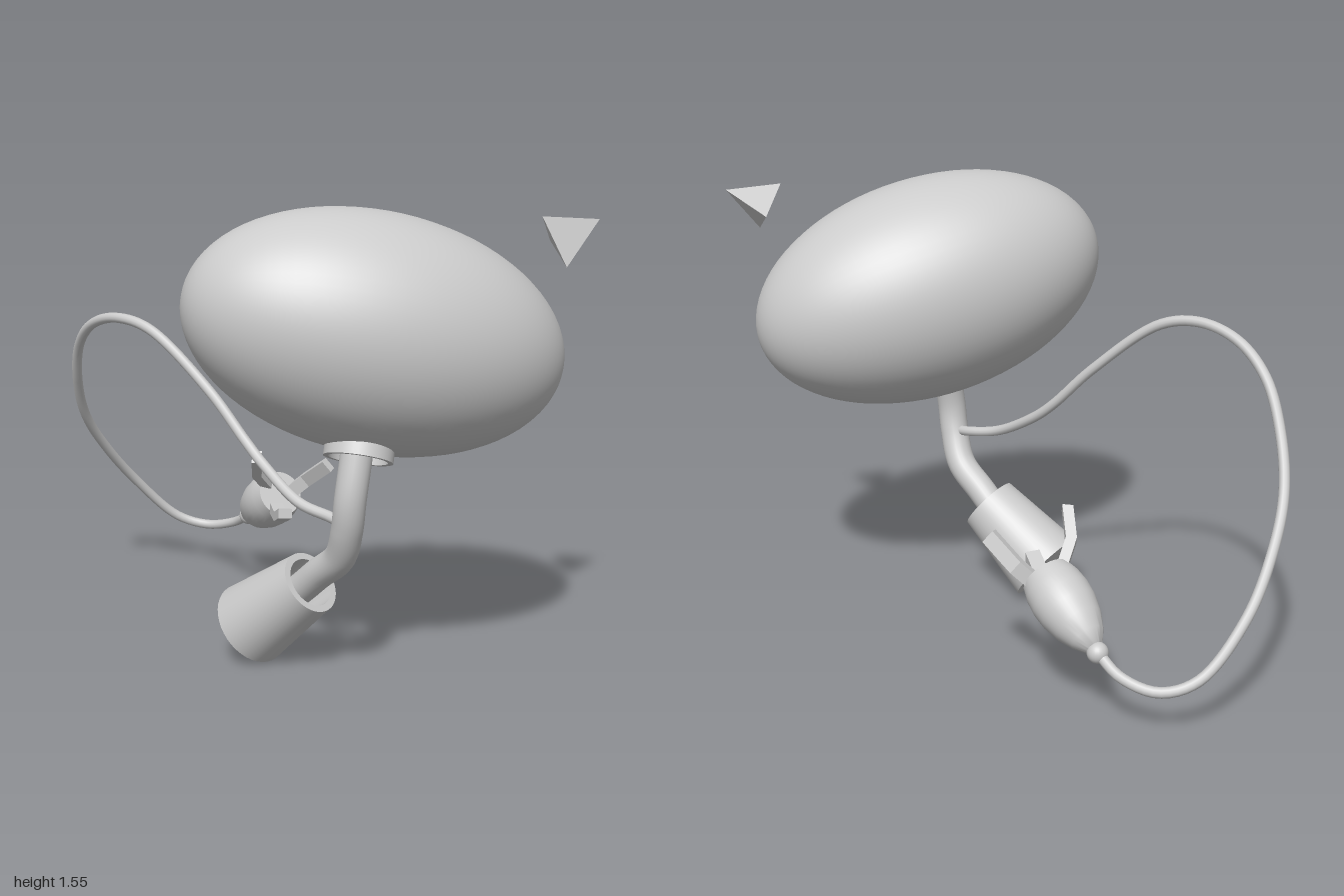
import * as THREE from 'three';
import { toCreasedNormals } from 'three/addons/utils/BufferGeometryUtils.js';
import { ConvexGeometry } from 'three/addons/geometries/ConvexGeometry.js';

const V = (x, y, z) => new THREE.Vector3(x, y, z);
const UP = V(0, 1, 0);

export function createModel() {
  const model = new THREE.Group();
  const material = new THREE.MeshStandardMaterial({ color: 0xcccccc });

  function add(name, geometry, parent = model) {
    const mesh = new THREE.Mesh(geometry, material);
    mesh.name = name;
    parent.add(mesh);
    return mesh;
  }

  // Stands an object at a point with its y axis along a direction
  function aim(object, from, direction) {
    object.position.copy(from);
    object.quaternion.setFromUnitVectors(UP, direction.clone().normalize());
    return object;
  }

  function lathe(profile, crease = 0.6) {
    const points = profile.map(([r, y]) => new THREE.Vector2(r, y));
    return toCreasedNormals(new THREE.LatheGeometry(points, 40), crease);
  }

  function tube(points, radius, segments, sides) {
    const curve = new THREE.CatmullRomCurve3(points.map((p) => V(...p)));
    return new THREE.TubeGeometry(curve, segments, radius, sides);
  }

  // Long smooth body, tilted along its own axis
  const body = add('body', new THREE.SphereGeometry(1, 64, 40));
  body.scale.set(0.387, 0.639, 0.387);
  aim(body, V(0.35, 1.145, 0.235), V(0.796, -0.233, -0.557));

  // Hollow collar under the body
  const collar = add('collar', lathe([
    [0.112, 0], [0.112, 0.16], [0.095, 0.16], [0.095, 0], [0.112, 0],
  ]));
  aim(collar, V(0.35, 0.768, 0.4), V(0, 0.918, -0.396));

  // Bent neck running down into the cup
  add('neck', tube([
    [0.35, 0.92, 0.37], [0.348, 0.78, 0.412], [0.337, 0.64, 0.435], [0.322, 0.54, 0.42],
    [0.283, 0.433, 0.377], [0.19, 0.35, 0.325], [0.11, 0.275, 0.287], [0.03, 0.21, 0.262],
  ], 0.052, 40, 24));

  // Cup foot with a closed wide base
  const cup = add('cup', lathe([
    [0, 0], [0.145, 0], [0.108, 0.322], [0.085, 0.322], [0.085, 0.08], [0, 0.08],
  ]));
  aim(cup, V(-0.088, 0.112, 0.23), V(0.243, 0.198, 0.074));

  // Thin arm looping back to the hand
  add('arm', tube([
    [0.325, 0.55, 0.42], [0.25, 0.562, 0.375], [0.128, 0.588, 0.338], [-0.03, 0.68, 0.255],
    [-0.11, 0.747, 0.22], [-0.257, 0.898, 0.18], [-0.497, 1.088, 0.135], [-0.64, 1.117, 0.095],
    [-0.78, 1.08, 0.025], [-0.885, 0.985, -0.06], [-0.95, 0.83, -0.155], [-0.98, 0.668, -0.265],
    [-0.963, 0.508, -0.4], [-0.909, 0.348, -0.54], [-0.79, 0.185, -0.66], [-0.674, 0.148, -0.7],
    [-0.55, 0.175, -0.685], [-0.465, 0.225, -0.634],
  ], 0.018, 120, 12));

  // Hand: wrist ball, rounded palm and three bent fingers
  const hand = new THREE.Group();
  hand.name = 'hand';
  model.add(hand);
  const wristPoint = V(-0.465, 0.225, -0.634);
  add('wrist', new THREE.SphereGeometry(0.035, 24, 16), hand).position.copy(wristPoint);

  const palm = add('palm', lathe([
    [0, 0.015], [0.03, 0.02], [0.058, 0.06], [0.083, 0.115], [0.098, 0.175],
    [0.102, 0.225], [0.097, 0.275], [0.085, 0.318], [0, 0.318],
  ], 0.9), hand);
  aim(palm, wristPoint, V(0.215, 0.16, 0.184));

  // Finger: a bent strip extruded across the plane of its three joints
  function finger(base, bend, tip) {
    const xAxis = tip.clone().sub(base).normalize();
    const zAxis = xAxis.clone().cross(bend.clone().sub(base)).normalize();
    const yAxis = zAxis.clone().cross(xAxis);
    const rel = bend.clone().sub(base);
    const [bx, by] = [rel.dot(xAxis), rel.dot(yAxis)];
    const length = tip.distanceTo(base);
    const t = 0.018, width = 0.05;
    const shape = new THREE.Shape([
      [0, -t], [bx, by - t], [length, -t], [length, t], [bx, by + t], [0, t],
    ].map(([x, y]) => new THREE.Vector2(x, y)));
    const geometry = new THREE.ExtrudeGeometry(shape, { depth: width, bevelEnabled: false });
    geometry.translate(0, 0, -width / 2);
    geometry.applyMatrix4(new THREE.Matrix4().makeBasis(xAxis, yAxis, zAxis).setPosition(base));
    add('finger', geometry, hand);
  }
  finger(V(-0.24, 0.37, -0.5), V(-0.17, 0.43, -0.51), V(-0.065, 0.508, -0.465));
  finger(V(-0.26, 0.335, -0.42), V(-0.205, 0.328, -0.33), V(-0.157, 0.364, -0.257));
  finger(V(-0.305, 0.42, -0.445), V(-0.315, 0.482, -0.37), V(-0.283, 0.56, -0.289));

  // Small floating four-sided pointer beside the body
  add('pointer', new ConvexGeometry([
    V(0.84, 1.518, 0.074), V(1, 1.506, -0.03), V(0.92, 1.36, 0.062), V(0.834, 1.428, -0.075),
  ]));

  return model;
}
